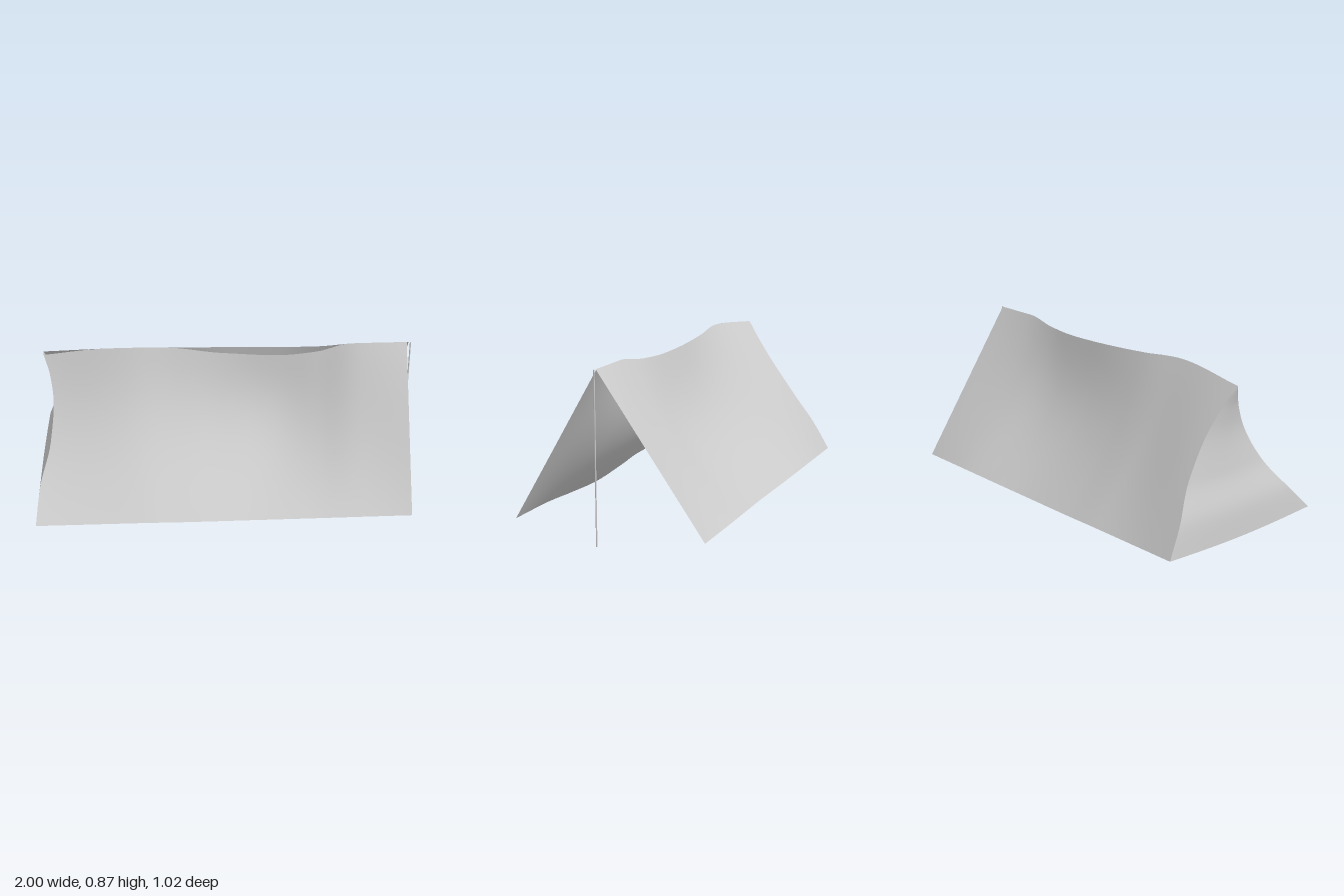
import * as THREE from 'three';

const cloth = new THREE.MeshStandardMaterial({ color: 0xcccccc, side: THREE.DoubleSide });
const poleMaterial = new THREE.MeshStandardMaterial({ color: 0xcccccc });

// Smooth curve through [position, value] pairs, without overshoot at peaks
function curve(pairs) {
  const last = pairs.length - 1;
  const rise = (k) => (pairs[k + 1][1] - pairs[k][1]) / (pairs[k + 1][0] - pairs[k][0]);
  const slope = (k) => {
    if (k === 0) return rise(0);
    if (k === last) return rise(last - 1);
    const a = rise(k - 1), b = rise(k);
    return a * b <= 0 ? 0 : 2 * a * b / (a + b);
  };
  return (t) => {
    if (t <= pairs[0][0]) return pairs[0][1];
    if (t >= pairs[last][0]) return pairs[last][1];
    let i = 0;
    while (t > pairs[i + 1][0]) i++;
    const [x0, y0] = pairs[i], [x1, y1] = pairs[i + 1];
    const h = x1 - x0, s = (t - x0) / h, r = 1 - s;
    return y0 * r * r * (1 + 2 * s) + y1 * s * s * (3 - 2 * s)
      + h * s * r * (slope(i) * r - slope(i + 1) * s);
  };
}

// Grid surface from a rule (u, v) -> [x, y, z]
function sheet(name, nu, nv, rule) {
  const positions = [], index = [];
  for (let j = 0; j <= nv; j++) {
    for (let i = 0; i <= nu; i++) positions.push(...rule(i / nu, j / nv));
  }
  for (let j = 0; j < nv; j++) {
    for (let i = 0; i < nu; i++) {
      const a = j * (nu + 1) + i, b = a + 1, c = a + nu + 1, d = c + 1;
      index.push(a, b, d, a, d, c);
    }
  }
  const geometry = new THREE.BufferGeometry();
  geometry.setAttribute('position', new THREE.Float32BufferAttribute(positions, 3));
  geometry.setIndex(index);
  geometry.computeVertexNormals();
  const mesh = new THREE.Mesh(geometry, cloth);
  mesh.name = name;
  return mesh;
}

// Ridge and hem lines along the length
const ridgeY = curve([[-0.95, 0.838], [-0.5, 0.873], [-0.25, 0.857], [0, 0.847], [0.3, 0.84], [0.5, 0.847], [0.72, 0.873], [0.985, 0.873]]);
const ridgeZ = curve([[-0.95, -0.012], [-0.5, 0.04], [-0.25, 0.018], [0.1, 0], [0.3, 0.003], [0.5, 0.02], [0.72, 0.045], [0.985, 0.045]]);
const hemY = curve([[-1, 0.083], [-0.45, 0.081], [-0.2, 0.071], [0.15, 0.063], [0.4, 0.07], [0.7, 0.081], [0.975, 0.083]]);
const hemZ = curve([[-1, 0.508], [-0.45, 0.506], [-0.2, 0.494], [0.15, 0.481], [0.4, 0.491], [0.7, 0.506], [0.975, 0.508]]);

// Closed end: how far the cloth is drawn in, by height fraction
const endX = curve([[0, -1], [0.19, -0.98], [0.44, -0.922], [0.69, -0.902], [0.85, -0.915], [1, -0.947]]);

// Inward sag of each roof side, and the dip of the loose front top edge
const frontSag = curve([[-1, 0.075], [-0.6, 0.072], [0, 0.11], [0.25, 0.125], [0.6, 0.075], [0.975, 0]]);
const backSag = curve([[-1, -0.028], [-0.85, -0.02], [-0.5, 0.03], [0.1, 0.09], [0.3, 0.09], [0.6, 0.055], [0.975, 0]]);
const topDip = curve([[-0.95, 0.02], [-0.62, 0], [-0.3, 0], [0, 0.035], [0.3, 0.048], [0.5, 0.03], [0.66, 0], [0.975, 0]]);

function roofPoint(side, u, v) {
  const openX = side > 0 ? 0.973 : 0.973 + 0.01 * v;
  const x = THREE.MathUtils.lerp(endX(v), openX, u);
  const dip = side > 0 ? topDip(x) : 0;
  const sag = (side > 0 ? frontSag : backSag)(x) * Math.sin(Math.PI * v);
  const y = THREE.MathUtils.lerp(hemY(x), ridgeY(x) - dip, v);
  const z = THREE.MathUtils.lerp(side * hemZ(x), ridgeZ(x), v) - side * sag;
  return [x, y, z];
}

export function createModel() {
  const group = new THREE.Group();
  group.name = 'tent';

  // Sloping roof sides
  group.add(sheet('frontRoofSide', 64, 32, (u, v) => roofPoint(1, u, v)));
  group.add(sheet('backRoofSide', 64, 32, (u, v) => roofPoint(-1, 1 - u, v)));

  // Closed end wall: edges follow the roof sides, the middle a little fuller
  group.add(sheet('endWall', 20, 32, (u, v) => {
    const back = roofPoint(-1, 0, v), front = roofPoint(1, 0, v);
    const p = back.map((value, k) => THREE.MathUtils.lerp(value, front[k], u));
    const middle = Math.sin(Math.PI * u);
    p[0] -= 0.01 * middle * Math.sin(Math.PI * v);
    p[1] -= 0.016 * middle * (1 - v);
    return p;
  }));

  // Upright pole at the open end
  const pole = new THREE.Mesh(new THREE.CylinderGeometry(0.0035, 0.0035, 0.872, 12), poleMaterial);
  pole.name = 'pole';
  pole.position.set(0.992, 0.436, 0.05);
  group.add(pole);

  return group;
}
